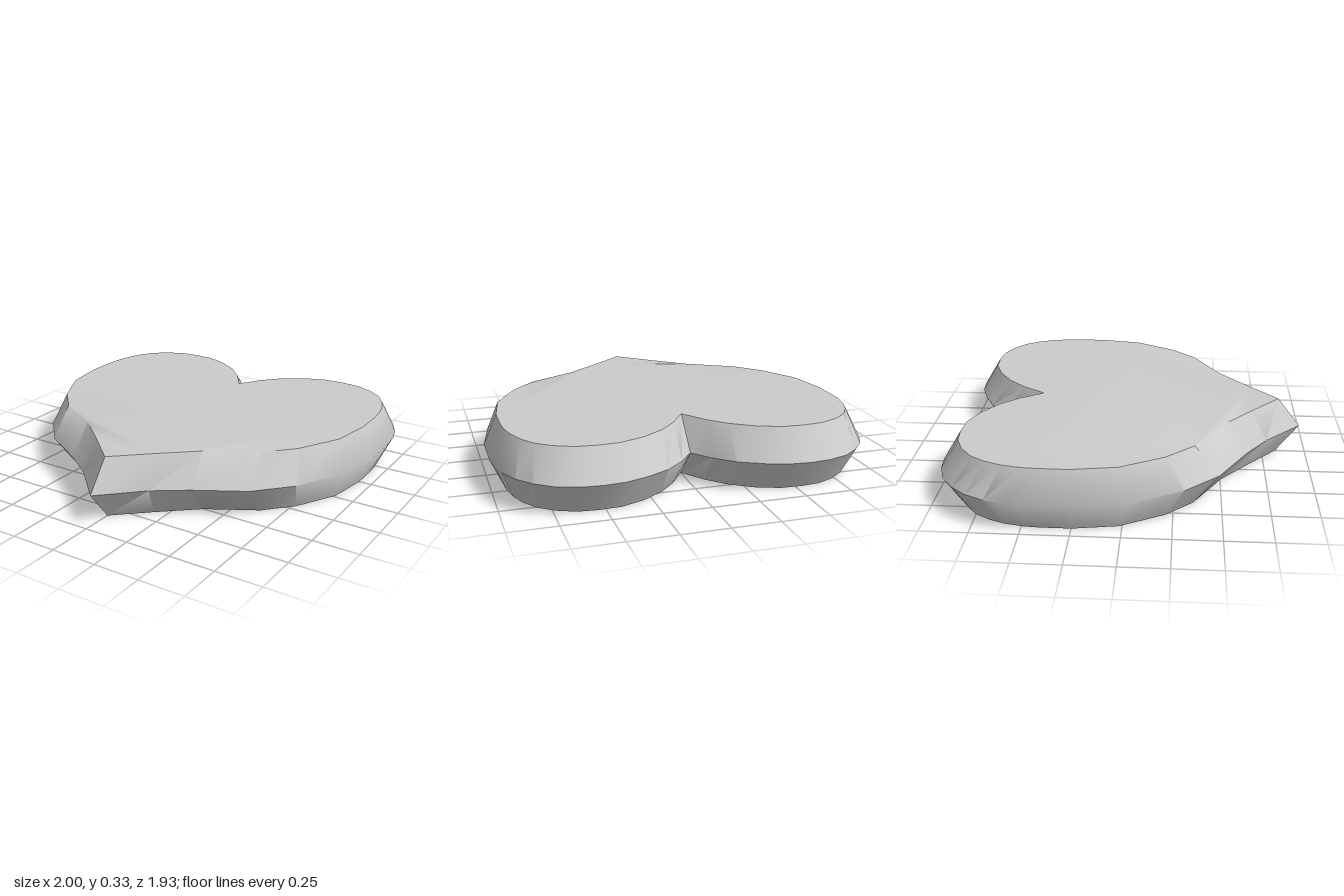
import * as THREE from 'three';
import { toCreasedNormals } from 'three/addons/utils/BufferGeometryUtils.js';

// Half outlines as x, z pairs, from the notch round one lobe to the tip
const waist = [
  [0, -0.665], [0.08, -0.77], [0.18, -0.86], [0.305, -0.925], [0.42, -0.963],
  [0.53, -0.973], [0.64, -0.963], [0.754, -0.925], [0.845, -0.856], [0.914, -0.775],
  [0.963, -0.674], [0.987, -0.59], [1, -0.486], [1, -0.23], [0.95, 0.04],
  [0.81, 0.305], [0.64, 0.487], [0.38, 0.636], [0.21, 0.754], [0, 0.957],
];
const face = [
  [0, -0.513], [0.086, -0.642], [0.176, -0.738], [0.294, -0.818], [0.42, -0.866],
  [0.535, -0.872], [0.64, -0.861], [0.738, -0.818], [0.818, -0.754], [0.87, -0.674],
  [0.904, -0.588], [0.925, -0.487], [0.93, -0.4], [0.93, -0.246], [0.893, -0.016],
  [0.77, 0.21], [0.636, 0.353], [0.374, 0.503], [0.18, 0.668], [0, 0.829],
];

// Mirror a half outline into a closed loop, counter-clockwise from above
function mirrorLoop(half) {
  const left = half.map(([x, z]) => [-x, z]);
  return [...left, ...half.slice(1, -1).reverse()];
}

export function createModel() {
  const height = 0.33;
  const faceLoop = mirrorLoop(face);
  const rings = [
    { loop: faceLoop, y: 0 },
    { loop: mirrorLoop(waist), y: height / 2 },
    { loop: faceLoop, y: height },
  ];
  const n = faceLoop.length;
  const positions = rings.flatMap(({ loop, y }) => loop.flatMap(([x, z]) => [x, y, z]));
  const index = [];

  // Bevelled sides
  for (let r = 0; r < 2; r++) {
    for (let i = 0; i < n; i++) {
      const j = (i + 1) % n;
      const a = r * n + i, b = r * n + j, c = b + n, d = a + n;
      index.push(a, b, c, a, c, d);
    }
  }

  // Flat top and bottom
  const contour = faceLoop.map(([x, z]) => new THREE.Vector2(x, -z));
  for (const [a, b, c] of THREE.ShapeUtils.triangulateShape(contour, [])) {
    index.push(2 * n + a, 2 * n + b, 2 * n + c);
    index.push(a, c, b);
  }

  const geometry = new THREE.BufferGeometry();
  geometry.setAttribute('position', new THREE.Float32BufferAttribute(positions, 3));
  geometry.setIndex(index);

  const heart = new THREE.Mesh(
    toCreasedNormals(geometry, THREE.MathUtils.degToRad(55)),
    new THREE.MeshStandardMaterial({ color: 0xcccccc }),
  );
  heart.name = 'heart';

  const group = new THREE.Group();
  group.name = 'bevelledHeart';
  group.add(heart);
  return group;
}
